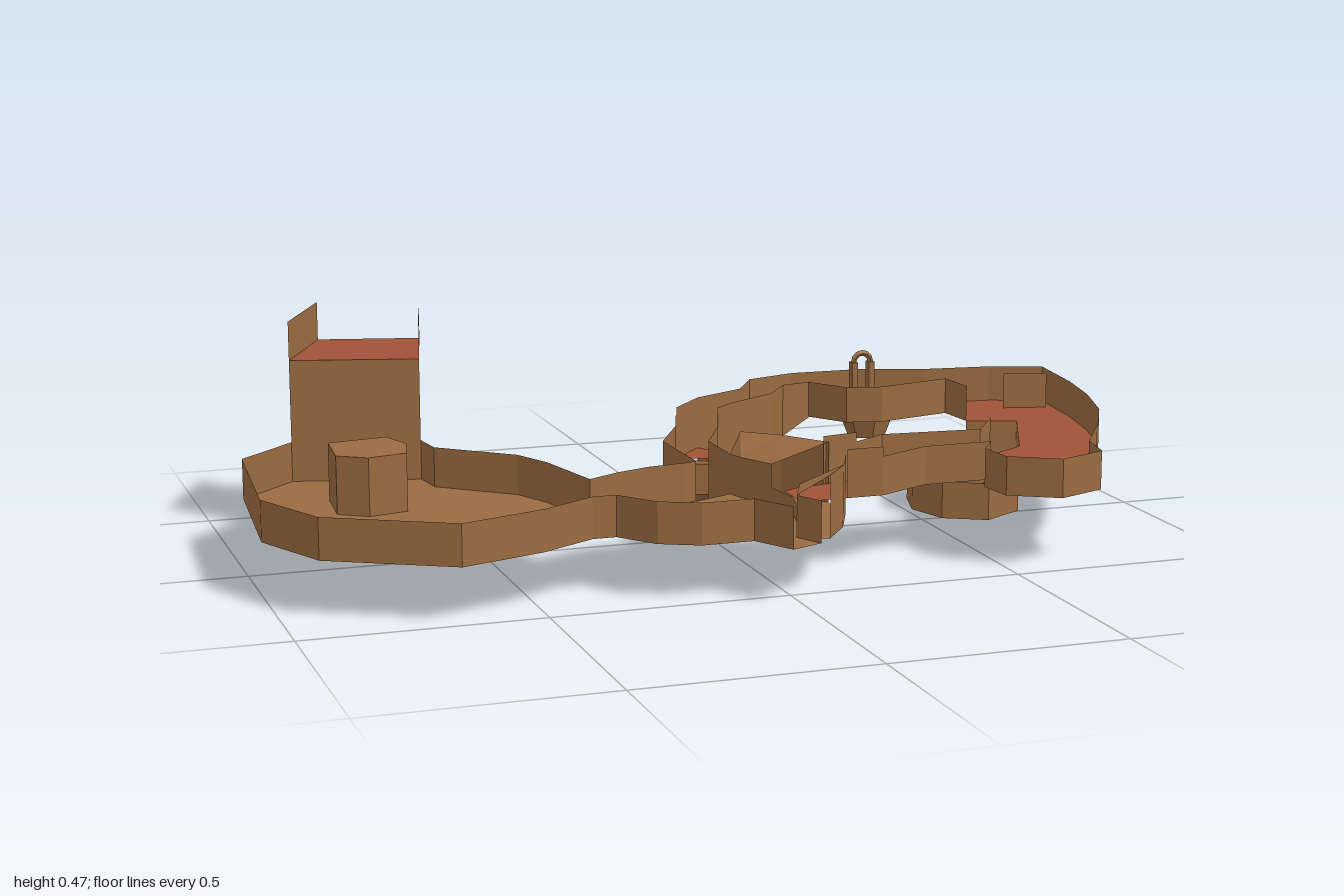
import * as THREE from 'three';

const material = (color) => new THREE.MeshStandardMaterial({ color, flatShading: true, side: THREE.DoubleSide });

export function createModel() {
  const group = new THREE.Group();
  const tan = material(0x9a6b40), red = material(0x9f5237), dark = material(0x573b27);

  function add(name, geometry, mat, x = 0, y = 0, z = 0) {
    const mesh = new THREE.Mesh(geometry, mat);
    mesh.name = name;
    mesh.position.set(x, y, z);
    group.add(mesh);
    return mesh;
  }

  // Flat or sloped floor from an [x, z] outline; heightAt gives y for each corner
  function floor(name, outline, heightAt, mat) {
    const shape = new THREE.Shape(outline.map(([x, z]) => new THREE.Vector2(x, -z)));
    const geometry = new THREE.ShapeGeometry(shape).rotateX(-Math.PI / 2);
    const p = geometry.attributes.position;
    for (let i = 0; i < p.count; i++) {
      p.setY(i, typeof heightAt === 'number' ? heightAt : heightAt(p.getX(i), p.getZ(i)));
    }
    geometry.computeVertexNormals();
    add(name, geometry, mat);
  }

  // Ribbon between two rails of [x, y, z] points
  function ribbon(name, low, high, mat = tan) {
    const v = [];
    for (let i = 0; i + 1 < low.length; i++) {
      v.push(...low[i], ...low[i + 1], ...high[i + 1], ...low[i], ...high[i + 1], ...high[i]);
    }
    const geometry = new THREE.BufferGeometry();
    geometry.setAttribute('position', new THREE.Float32BufferAttribute(v, 3));
    geometry.computeVertexNormals();
    add(name, geometry, mat);
  }
  const lift = (path, y) => path.map(([x, z]) => [x, y, z]);
  const wall = (name, path, y0, y1, mat = tan) => ribbon(name, lift(path, y0), lift(path, y1), mat);

  // Large left basin
  const basinFront = [[-0.84, -0.34], [-0.97, -0.21], [-1, 0.17], [-0.92, 0.35], [-0.67, 0.49],
    [-0.49, 0.43], [-0.37, 0.36], [-0.32, 0.36]];
  const basinBack = [[-0.33, 0.21], [-0.37, 0.03], [-0.41, -0.06], [-0.56, -0.19], [-0.57, -0.27]];
  floor('leftBasinFloor', [...basinFront, ...basinBack], 0.113, tan);
  wall('leftBasinOuterWall', basinFront, 0.113, 0.2);
  wall('leftBasinInnerWall', basinBack, 0.113, 0.2);

  // Pillar standing in the basin
  const pillar = [[-0.8, -0.14], [-0.67, -0.16], [-0.645, -0.08], [-0.665, 0.01], [-0.75, 0.03], [-0.81, -0.01]];
  floor('pillarTop', pillar, 0.237, tan);
  floor('pillarBase', pillar, 0.1, tan);
  wall('pillarSides', [...pillar, pillar[0]], 0.1, 0.237);

  // Raised ledge with a cliff and two side walls
  const ledge = [[-0.73, -0.575], [-0.84, -0.34], [-0.57, -0.27], [-0.51, -0.52]];
  floor('ledgeFloor', ledge, 0.38, red);
  wall('ledgeCliff', ledge.slice(1, 3), 0.113, 0.38);
  wall('ledgeRightWall', ledge.slice(0, 2), 0.38, 0.465);
  wall('ledgeLeftWall', ledge.slice(2), 0.38, 0.465);

  // Middle basin with a short open spur
  const middleFront = [[-0.32, 0.36], [-0.26, 0.44], [-0.18, 0.48], [-0.07, 0.48], [-0.02, 0.57]];
  const spurSide = [[0.05, 0.54], [0.02, 0.48]];
  const bankInner = [[0.02, 0.48], [0.06, 0.39], [0.08, 0.3], [0.07, 0.2], [0.03, 0.12], [0.02, 0.08]];
  const middleBack = [[-0.07, 0.12], [-0.1, 0.13], [-0.18, 0.14], [-0.26, 0.17], [-0.33, 0.21]];
  floor('middleBasinFloor', [...middleFront, ...spurSide, ...bankInner.slice(1), ...middleBack], 0.113, tan);
  wall('middleFrontWall', middleFront, 0.113, 0.2);
  wall('spurWall', spurSide, 0.113, 0.2);
  wall('middleBackWall', middleBack, 0.113, 0.2);

  // Curved bank closing the middle basin
  const bankOuter = [[0.08, 0.51], [0.14, 0.43], [0.185, 0.33], [0.19, 0.22], [0.12, 0.12], [0.05, 0.06]];
  wall('bankInnerFace', bankInner.slice(0, 2), 0.113, 0.2);
  wall('bankInnerFaceBack', bankInner.slice(3), 0.113, 0.2);
  wall('bankLowerFace', bankInner.slice(1, 4), 0.113, 0.15);
  ribbon('bankTopFront', lift(bankInner.slice(0, 2), 0.2), lift(bankOuter.slice(0, 2), 0.243));
  ribbon('bankTopBack', lift(bankInner.slice(3), 0.2), lift(bankOuter.slice(3), 0.243));
  wall('bankOuterFaceFront', bankOuter.slice(0, 3), 0.113, 0.243);
  wall('bankOuterFaceBack', bankOuter.slice(3), 0.113, 0.243);
  ribbon('bankUnderside', lift(bankInner, 0.113), lift(bankOuter, 0.113));

  // Back corridor: sunken channels alternating with raised steps
  function channel(name, outer, inner, y, top, mat) {
    ribbon(name + 'Floor', lift(inner, y), lift(outer, y), mat);
    wall(name + 'OuterWall', outer, y, top);
    wall(name + 'InnerWall', inner, y, top);
  }
  channel('firstChannel', [[-0.07, 0.12], [-0.075, -0.09], [0, -0.23]],
    [[0.02, 0.08], [0.02, -0.06], [0.09, -0.2]], 0.043, 0.2, dark);
  channel('corridorStep', [[0, -0.23], [0.015, -0.265]], [[0.09, -0.2], [0.1, -0.23]], 0.113, 0.22, tan);
  channel('corridorLanding', [[0.015, -0.265], [0.095, -0.355]], [[0.1, -0.23], [0.15, -0.275]], 0.118, 0.235, red);
  channel('secondChannel', [[0.095, -0.355], [0.22, -0.42], [0.28, -0.52]],
    [[0.15, -0.275], [0.27, -0.345], [0.33, -0.43]], 0.057, 0.235, dark);
  wall('firstChannelEntryCliff', [[-0.07, 0.12], [0.02, 0.08]], 0.043, 0.113);
  wall('firstChannelExitCliff', [[0, -0.23], [0.09, -0.2]], 0.043, 0.113);
  wall('secondChannelEntryCliff', [[0.095, -0.355], [0.15, -0.275]], 0.057, 0.118);
  wall('secondChannelExitCliff', [[0.28, -0.52], [0.33, -0.43]], 0.057, 0.113);

  // Ramp up into the right terrace
  const rampLow = [[0.28, -0.52], [0.33, -0.43]], rampHigh = [[0.4, -0.56], [0.4, -0.445]];
  ribbon('rampFloor', lift(rampLow, 0.113), lift(rampHigh, 0.15), red);
  for (const i of [0, 1]) {
    const edge = [rampLow[i], rampHigh[i]];
    ribbon('rampWall', [[...edge[0]], [...edge[1]]].map(([x, z], k) => [x, k ? 0.15 : 0.113, z]), lift(edge, 0.235));
  }

  // Right terrace, curving round to the corridor over the bank
  const terraceOuter = [[0.4, -0.56], [0.57, -0.555], [0.72, -0.505], [0.88, -0.485], [1, -0.44], [0.98, -0.25],
    [0.95, -0.1], [0.9, 0.06], [0.82, 0.21], [0.73, 0.35], [0.71, 0.45], [0.6, 0.495], [0.5, 0.435], [0.49, 0.35],
    [0.53, 0.29], [0.38, 0.29], [0.26, 0.35], [0.11, 0.35], [0.08, 0.33]];
  const terraceFront = [[0.08, 0.25], [0.11, 0.23], [0.26, 0.2], [0.34, 0.15], [0.56, 0.17], [0.63, 0.07]];
  const pitCliff = [[0.63, 0.07], [0.73, 0.01], [0.84, -0.24], [0.73, -0.28]];
  const terraceBack = [[0.73, -0.28], [0.72, -0.38], [0.54, -0.335], [0.46, -0.355], [0.4, -0.445]];
  floor('terraceFloor', [...terraceOuter, ...terraceFront, ...pitCliff.slice(1), ...terraceBack.slice(1)], 0.152, red);
  wall('terraceOuterWall', terraceOuter.slice(0, 17), 0.152, 0.235);
  wall('terraceFrontInnerWall', terraceFront.slice(2), 0.152, 0.235);
  wall('terraceBackInnerWall', terraceBack, 0.152, 0.235);
  wall('entryOuterWall', [[0.26, 0.35], [0.18, 0.35]], 0.152, 0.255);
  wall('entryInnerWall', [[0.18, 0.215], [0.26, 0.2]], 0.152, 0.255);
  wall('terracePartition', [[0.875, -0.39], [0.975, -0.365]], 0.152, 0.235);

  // Sunken pit beside the terrace
  const pitRim = [[0.73, -0.28], [0.68, -0.28], [0.59, -0.25], [0.54, -0.18], [0.51, -0.08], [0.54, 0.02], [0.63, 0.07]];
  floor('pitFloor', [...pitRim, ...pitCliff.slice(1, 3)], 0.004, dark);
  wall('pitCliff', pitCliff, 0.004, 0.152);
  wall('pitLowWall', pitRim, 0.004, 0.087);
  add('pitMarker', new THREE.BoxGeometry(0.05, 0.012, 0.05), tan, 0.67, 0.006, -0.115);

  // Small well with an arched handle
  const bowl = add('wellBowl', new THREE.CylinderGeometry(0.07, 0.045, 0.062, 7, 1, true), tan, 0.54, 0.133, -0.425);
  bowl.scale.z = 0.8;
  const base = add('wellBase', new THREE.CircleGeometry(0.045, 7).rotateX(-Math.PI / 2), tan, 0.54, 0.103, -0.425);
  base.scale.z = 0.8;
  const rim = add('wellRim', new THREE.RingGeometry(0.035, 0.07, 7).rotateX(-Math.PI / 2), tan, 0.54, 0.164, -0.425);
  rim.scale.z = 0.8;
  add('wellArch', new THREE.TorusGeometry(0.021, 0.007, 4, 6, Math.PI), tan, 0.54, 0.272, -0.46);
  for (const side of [-1, 1]) {
    add('wellPost', new THREE.BoxGeometry(0.014, 0.11, 0.022), tan, 0.54 + side * 0.021, 0.217, -0.46);
  }
  return group;
}
